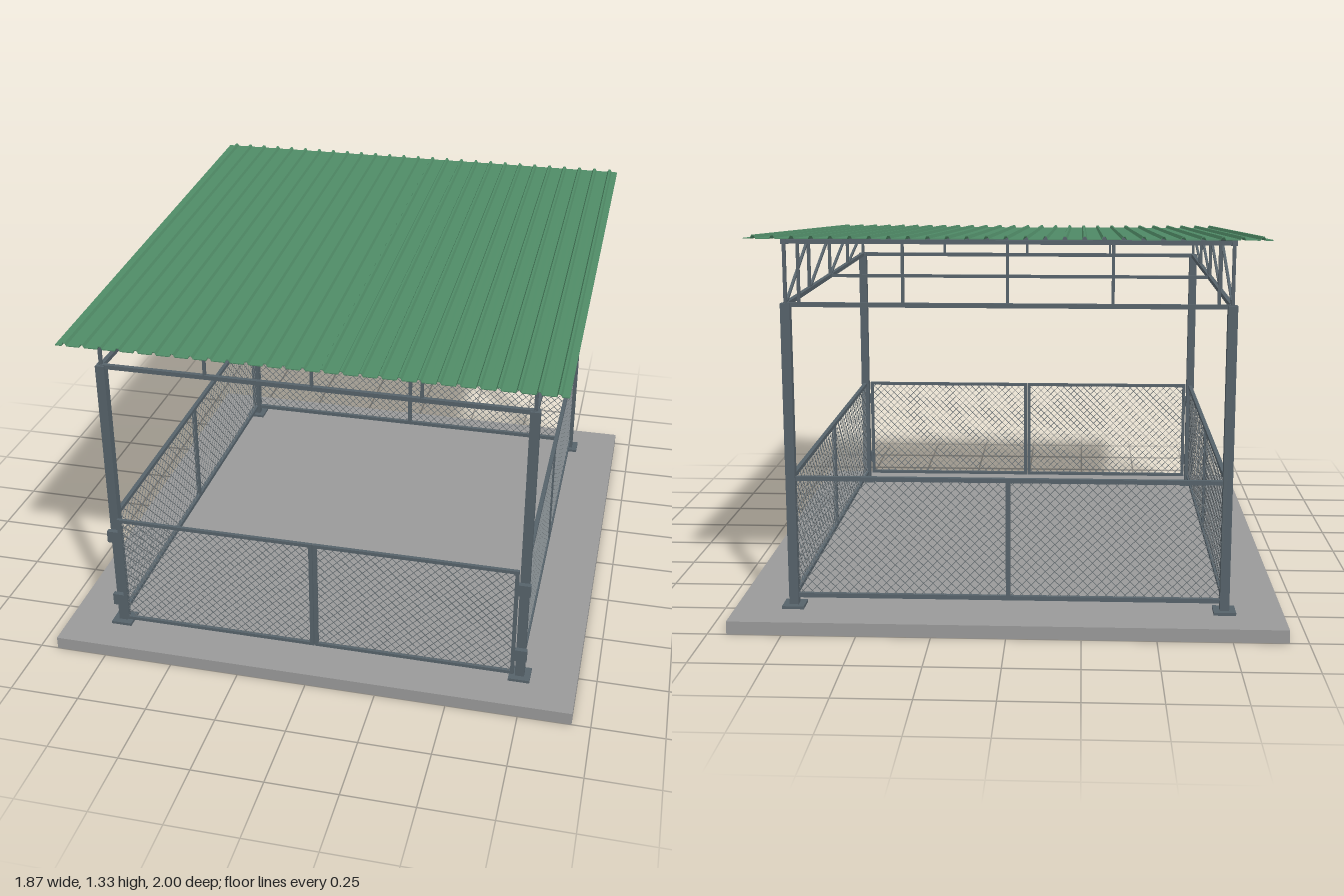
import * as THREE from 'three';
import { mergeGeometries } from 'three/addons/utils/BufferGeometryUtils.js';

const V = (x, y, z) => new THREE.Vector3(x, y, z);
const PX = 0.735, PZ = 0.835;          // post centres
const BEAM_Y = 1.09, SLOPE = 0.0614;
const chordY = z => 1.247 - SLOPE * z; // height of the sloping chord

// Square bar from a to b
function barGeometry(a, b, w, h = w) {
  const g = new THREE.BoxGeometry(w, h, a.distanceTo(b));
  const m = new THREE.Matrix4();
  const up = Math.abs(b.y - a.y) > 0.999 * a.distanceTo(b) ? V(0, 0, 1) : V(0, 1, 0);
  m.lookAt(b, a, up);
  m.setPosition(a.clone().add(b).multiplyScalar(0.5));
  return g.applyMatrix4(m);
}

// Diagonal wires in both directions, clipped to a rectangle in the xy plane
function wireGeometry(x0, x1, y0, y1, pitch) {
  const parts = [], h = y1 - y0;
  for (let s = x0 - h + pitch / 2; s < x1; s += pitch) {
    const t0 = Math.max(0, x0 - s), t1 = Math.min(h, x1 - s);
    if (t1 - t0 < 0.005) continue;
    parts.push(barGeometry(V(s + t0, y0 + t0, 0.001), V(s + t1, y0 + t1, 0.001), 0.002));
    parts.push(barGeometry(V(s + t0, y1 - t0, -0.001), V(s + t1, y1 - t1, -0.001), 0.002));
  }
  return mergeGeometries(parts);
}

export function createModel() {
  const model = new THREE.Group();
  const steel = new THREE.MeshStandardMaterial({ color: 0x56626a });
  const wire = new THREE.MeshStandardMaterial({ color: 0x6a7276 });
  const concrete = new THREE.MeshStandardMaterial({ color: 0x999999 });
  const green = new THREE.MeshStandardMaterial({ color: 0x4f8a66, side: THREE.DoubleSide });

  const add = (parent, name, geometry, material = steel) => {
    const mesh = new THREE.Mesh(geometry, material);
    mesh.name = name;
    parent.add(mesh);
    return mesh;
  };
  const bar = (parent, name, a, b, w, h) => add(parent, name, barGeometry(a, b, w, h));
  const group = name => {
    const g = new THREE.Group();
    g.name = name;
    model.add(g);
    return g;
  };

  // Floor slab
  add(model, 'floorSlab', new THREE.BoxGeometry(1.87, 0.045, 2), concrete).position.y = 0.0225;

  // Corner posts on base plates
  const posts = group('posts');
  for (const x of [-PX, PX]) for (const z of [-PZ, PZ]) {
    bar(posts, 'post', V(x, 0.045, z), V(x, BEAM_Y + 0.005, z), 0.032);
    add(posts, 'basePlate', new THREE.BoxGeometry(0.075, 0.01, 0.075)).position.set(x, 0.05, z);
  }

  // Side trusses
  const nodes = [PZ, 0.4175, 0, -0.4175, -PZ];
  for (const x of [-PX, PX]) {
    const truss = group('sideTruss');
    bar(truss, 'bottomChord', V(x, BEAM_Y, PZ), V(x, BEAM_Y, -PZ), 0.015);
    bar(truss, 'topChord', V(x, chordY(0.845), 0.845), V(x, chordY(-0.845), -0.845), 0.018);
    nodes.forEach((z, i) => {
      bar(truss, 'vertical', V(x, BEAM_Y, z), V(x, chordY(z), z), 0.011);
      if (i < 4) bar(truss, 'diagonal', V(x, chordY(z), z), V(x, BEAM_Y, nodes[i + 1]), 0.009);
    });
  }

  // Cross beams with short struts, purlins and a middle rafter
  const crossFrame = group('crossFrame');
  for (const [z, half] of [[PZ, PX], [-PZ, 0.69]]) {
    bar(crossFrame, 'crossBeam', V(-PX, BEAM_Y, z), V(PX, BEAM_Y, z), 0.015);
    for (let i = -2; i <= 2; i++) {
      const x = half * i / 2;
      bar(crossFrame, 'strut', V(x, BEAM_Y, z), V(x, chordY(z), z), 0.01);
    }
  }
  bar(crossFrame, 'middleTie', V(-PX, BEAM_Y, 0), V(PX, BEAM_Y, 0), 0.012);
  for (const z of nodes)
    bar(crossFrame, 'purlin', V(-0.745, chordY(z), z), V(0.745, chordY(z), z), 0.014);
  bar(crossFrame, 'middleRafter', V(0, chordY(PZ), PZ), V(0, chordY(-PZ), -PZ), 0.012);

  // Ribbed roof sheet: upper outline forward, lower outline back
  const ribs = 27, pitch = 1.69 / ribs, thick = 0.003;
  const outline = [];
  for (let i = 0; i < ribs; i++) {
    const x = -0.845 + i * pitch;
    for (const [u, y] of [[0, 0], [0.36, 0], [0.44, 0.01], [0.56, 0.01], [0.64, 0]])
      outline.push([x + u * pitch, y]);
  }
  outline.push([0.845, 0]);
  const points = [...outline.map(([x, y]) => new THREE.Vector2(x, y)),
    ...outline.slice().reverse().map(([x, y]) => new THREE.Vector2(x, y - thick))];
  const sheet = new THREE.ExtrudeGeometry(new THREE.Shape(points), { depth: 1.874, bevelEnabled: false });
  sheet.translate(0, 0, -0.937);
  const roof = add(model, 'roofSheet', sheet, green);
  roof.rotation.x = Math.atan(SLOPE);
  roof.position.y = 1.261;

  // Mesh fences on the sides and back, each built along x then turned
  const fence = (name, half, wirePitch) => {
    const f = group(name);
    for (const y of [0.085, 0.498])
      bar(f, 'rail', V(-half, y, 0), V(half, y, 0), 0.015);
    bar(f, 'middleUpright', V(0, 0.08, 0), V(0, 0.5, 0), 0.015);
    for (const s of [-1, 1])
      add(f, 'wireMesh', wireGeometry(Math.min(0, s * half), Math.max(0, s * half), 0.085, 0.498, wirePitch), wire);
    return f;
  };
  for (const s of [-1, 1]) {
    const side = fence('sideFence', 0.82, 0.042);
    side.position.x = s * PX;
    side.rotation.y = s * Math.PI / 2;
  }
  fence('backFence', 0.72, 0.032).position.z = -PZ;

  // Double gate hung in front of the posts
  for (const s of [-1, 1]) {
    const gate = group('gateLeaf');
    gate.position.z = 0.865;
    const inner = s * 0.008, outer = s * 0.71;
    for (const x of [inner, outer])
      bar(gate, 'stile', V(x, 0.075, 0), V(x, 0.502, 0), 0.013, 0.012);
    for (const y of [0.081, 0.496])
      bar(gate, 'gateRail', V(inner, y, 0), V(outer, y, 0), 0.012);
    add(gate, 'wireMesh', wireGeometry(Math.min(inner, outer), Math.max(inner, outer), 0.081, 0.496, 0.03), wire);
    for (const y of [0.155, 0.425])
      add(gate, 'hinge', new THREE.BoxGeometry(0.05, 0.045, 0.018)).position.set(s * 0.733, y, -0.003);
  }
  return model;
}
